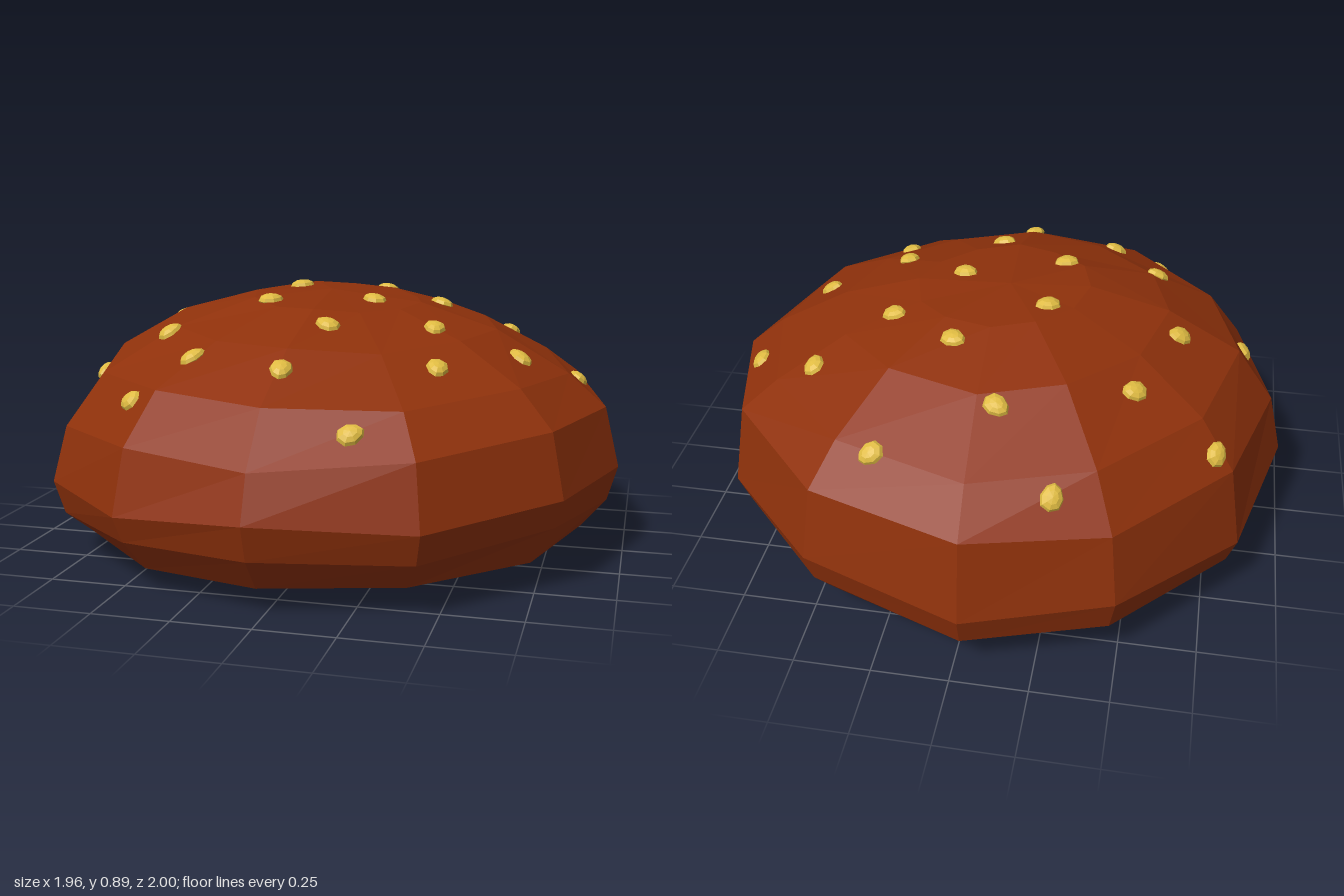
import * as THREE from 'three';

// Widest outline of the bun (x, z), running from the back round by +x
const OUTLINE = [
  [-0.03, -1], [0.49, -0.84], [0.84, -0.47], [0.975, 0.02], [0.83, 0.49], [0.46, 0.87],
  [-0.03, 1], [-0.48, 0.87], [-0.85, 0.52], [-0.98, 0.02], [-0.85, -0.47], [-0.49, -0.86],
];

// Rings from underside to crown: scale, height, tilt along x, tilt along z, wobble
const RINGS = [
  [0.55, 0.026, 0.035, -0.03, 0],
  [0.88, 0.077, 0.005, 0, 0.005],
  [0.965, 0.17, 0.02, 0.01, -0.015],
  [1.0, 0.272, 0.02, 0.01, -0.02],
  [0.95, 0.495, 0.025, -0.04, 0.015],
  [0.82, 0.632, -0.015, -0.03, 0.012],
  [0.57, 0.767, -0.03, -0.05, 0.008],
  [0.3, 0.845, -0.05, -0.05, 0.005],
];

// Seed positions on the crown (x, z)
const SEEDS = [
  [-0.28, -0.79], [0.28, -0.73], [-0.08, -0.59], [-0.75, -0.44], [-0.48, -0.4], [0.1, -0.35],
  [0.56, -0.37], [-0.17, -0.14], [0.33, -0.19], [0.82, -0.17], [-0.6, -0.08], [0.14, 0.06],
  [-0.82, 0.15], [-0.19, 0.18], [0.65, 0.15], [0.38, 0.23], [-0.5, 0.32], [0.06, 0.38],
  [0.43, 0.46], [-0.33, 0.56], [-0.5, 0.66], [-0.01, 0.66], [0.24, 0.8],
];

function bunGeometry() {
  const n = OUTLINE.length;
  const rings = RINGS.map(([s, y, tiltX, tiltZ, wobble], j) => OUTLINE.map(([x, z], i) =>
    new THREE.Vector3(x * s, y + tiltX * x * s + tiltZ * z * s + wobble * Math.sin(i * 2.4 + j * 0.9), z * s)));
  const bottom = new THREE.Vector3(0, 0.05, 0);
  const crown = new THREE.Vector3(-0.03, 0.868, -0.03);
  const pts = [];
  const last = rings[rings.length - 1];
  for (let i = 0; i < n; i++) {
    const k = (i + 1) % n;
    pts.push(rings[0][i], rings[0][k], bottom);
    for (let j = 0; j < rings.length - 1; j++) {
      const a = rings[j], b = rings[j + 1];
      pts.push(a[i], b[i], a[k], a[k], b[i], b[k]);
    }
    pts.push(last[i], crown, last[k]);
  }
  const geometry = new THREE.BufferGeometry().setFromPoints(pts);
  geometry.computeVertexNormals();
  return geometry;
}

// Flattened egg, narrower towards one end
function seedGeometry() {
  const geometry = new THREE.SphereGeometry(1, 8, 6);
  const p = geometry.attributes.position;
  for (let i = 0; i < p.count; i++) {
    const z = p.getZ(i);
    p.setXYZ(i, p.getX(i) * 0.036 * (1 - 0.2 * z), p.getY(i) * 0.022, z * 0.044);
  }
  geometry.computeVertexNormals();
  return geometry;
}

export function createModel() {
  const group = new THREE.Group();
  group.name = 'seededBun';

  const bun = new THREE.Mesh(bunGeometry(),
    new THREE.MeshStandardMaterial({ color: 0x8f310b, flatShading: true }));
  bun.name = 'bun';
  group.add(bun);

  // Seeds dropped onto the crown and laid flat against it
  const seeds = new THREE.Group();
  seeds.name = 'seeds';
  const geometry = seedGeometry();
  const material = new THREE.MeshStandardMaterial({ color: 0xdfbb42, flatShading: true });
  const up = new THREE.Vector3(0, 1, 0);
  const down = new THREE.Vector3(0, -1, 0);
  const ray = new THREE.Raycaster();
  SEEDS.forEach(([x, z], i) => {
    ray.set(new THREE.Vector3(x, 2, z), down);
    const hit = ray.intersectObject(bun)[0];
    const seed = new THREE.Mesh(geometry, material);
    seed.name = 'seed' + (i + 1);
    seed.position.copy(hit.point);
    seed.quaternion.setFromUnitVectors(up, hit.face.normal);
    seed.rotateY(i * 2.1);
    seeds.add(seed);
  });
  group.add(seeds);
  return group;
}
